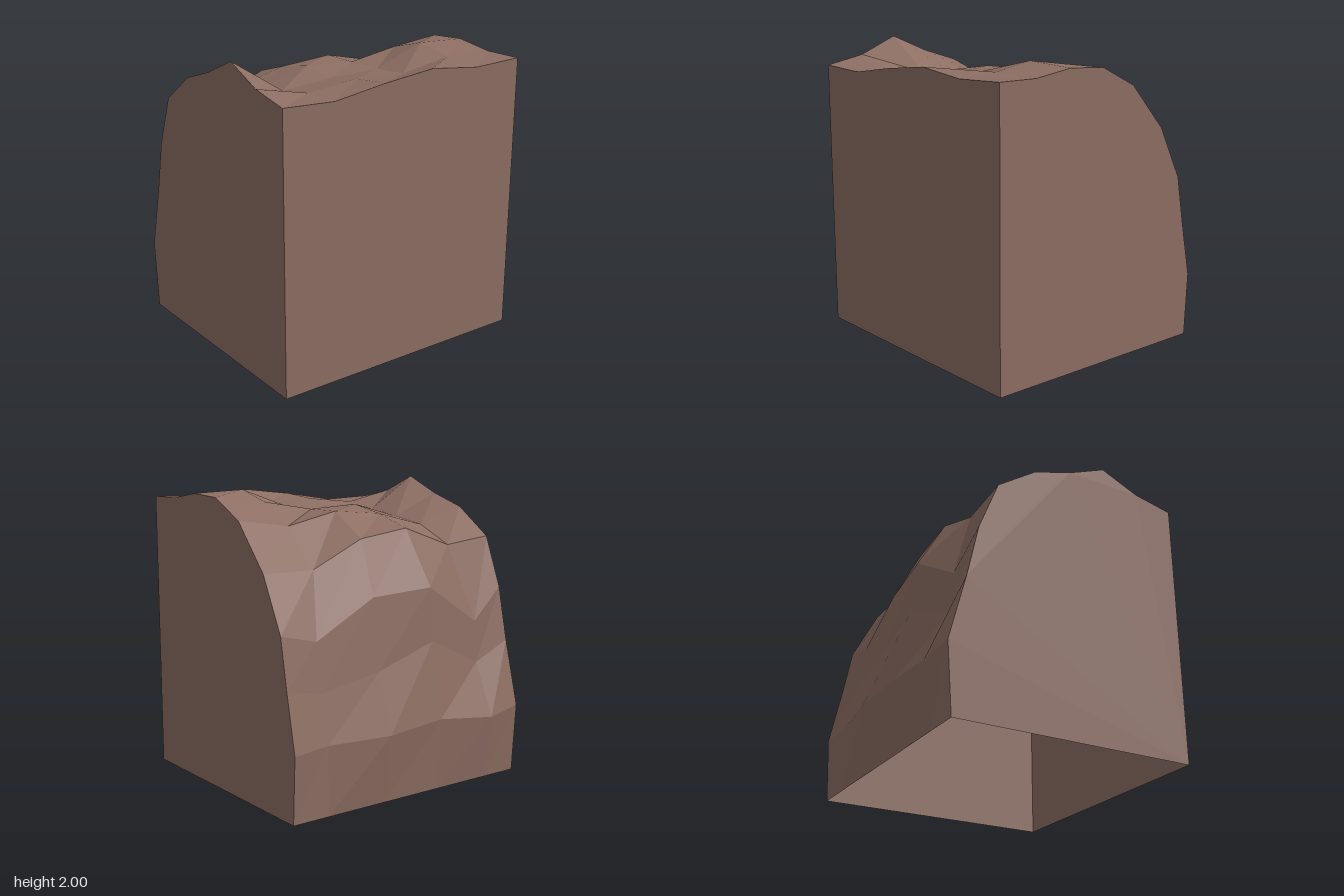
import * as THREE from 'three';

// Cross-sections from back to front. Each has three side points [x, y],
// then the heights of the crown at the fixed crown columns.
const SECTIONS = [
  { side: [[-0.82, 0.43], [-0.74, 0.81], [-0.68, 1.13]], crown: [1.48, 1.78, 1.91, 1.925, 1.885, 1.885] },
  { side: [[-0.8, 0.45], [-0.73, 0.76], [-0.68, 1.07]], crown: [1.48, 1.73, 1.87, 1.94, 1.89, 1.87] },
  { side: [[-0.86, 0.45], [-0.74, 0.84], [-0.675, 1.3]], crown: [1.65, 1.81, 1.81, 1.81, 1.83, 1.91] },
  { side: [[-0.835, 0.48], [-0.74, 0.98], [-0.71, 1.33]], crown: [1.7, 1.78, 1.83, 1.8, 1.845, 1.87] },
  { side: [[-0.855, 0.43], [-0.695, 0.78], [-0.67, 1.06]], crown: [1.57, 1.69, 1.73, 1.77, 1.81, 1.815] },
  { side: [[-0.83, 0.47], [-0.715, 0.91], [-0.635, 1.27]], crown: [1.61, 1.8, 1.885, 2.0, 1.885, 1.83] },
];
const CROWN_X = [-0.5, -0.225, 0.045, 0.315, 0.585, 0.86];
const SIDE_Z = [-0.92, -0.66, -0.22, 0.22, 0.66, 0.92];
const CROWN_Z = [-0.92, -0.555, -0.185, 0.185, 0.555, 0.92];

// Points of one section, from the foot of the slope up and over to the flat wall
function sectionPoints(r) {
  const { side, crown } = SECTIONS[r];
  return [
    new THREE.Vector3(-0.8, 0, SIDE_Z[r]),
    ...side.map(([x, y]) => new THREE.Vector3(x, y, SIDE_Z[r])),
    ...crown.map((y, i) => new THREE.Vector3(CROWN_X[i], y, CROWN_Z[r])),
  ];
}

// Faceted skin joining neighbouring sections
function skinGeometry(rows) {
  const pts = [];
  for (let r = 0; r < rows.length - 1; r++) {
    for (let i = 0; i < rows[r].length - 1; i++) {
      const a = rows[r][i], b = rows[r + 1][i];
      const c = rows[r + 1][i + 1], d = rows[r][i + 1];
      pts.push(a, b, c, a, c, d);
    }
  }
  const geo = new THREE.BufferGeometry().setFromPoints(pts);
  geo.computeVertexNormals();
  return geo;
}

// Flat wall from an outline, turned about y and moved into place
function wallGeometry(outline, turn, x, z) {
  const shape = new THREE.Shape(outline.map(([u, v]) => new THREE.Vector2(u, v)));
  return new THREE.ShapeGeometry(shape).rotateY(turn).translate(x, 0, z);
}

export function createModel() {
  const group = new THREE.Group();
  group.name = 'rockBlock';
  const rock = new THREE.MeshStandardMaterial({ color: 0x8d6e63, flatShading: true, side: THREE.DoubleSide });
  rock.name = 'brown rock';

  const add = (name, geo) => {
    const mesh = new THREE.Mesh(geo, rock);
    mesh.name = name;
    group.add(mesh);
  };

  const rows = SECTIONS.map((_, r) => sectionPoints(r));
  const back = rows[0], front = rows[rows.length - 1];

  // Rough slope and crown
  add('rockSurface', skinGeometry(rows));

  // Flat cut walls; the underside stays open
  add('frontWall', wallGeometry([...front.map(p => [p.x, p.y]), [0.86, 0]], 0, 0, 0.92));
  add('backWall', wallGeometry([...back.map(p => [-p.x, p.y]), [-0.86, 0]], Math.PI, 0, -0.92));
  const ridge = rows.map(row => row[row.length - 1]);
  add('leftWall', wallGeometry([[0.92, 0], ...ridge.map(p => [-p.z, p.y]), [-0.92, 0]], Math.PI / 2, 0.86, 0));

  return group;
}
